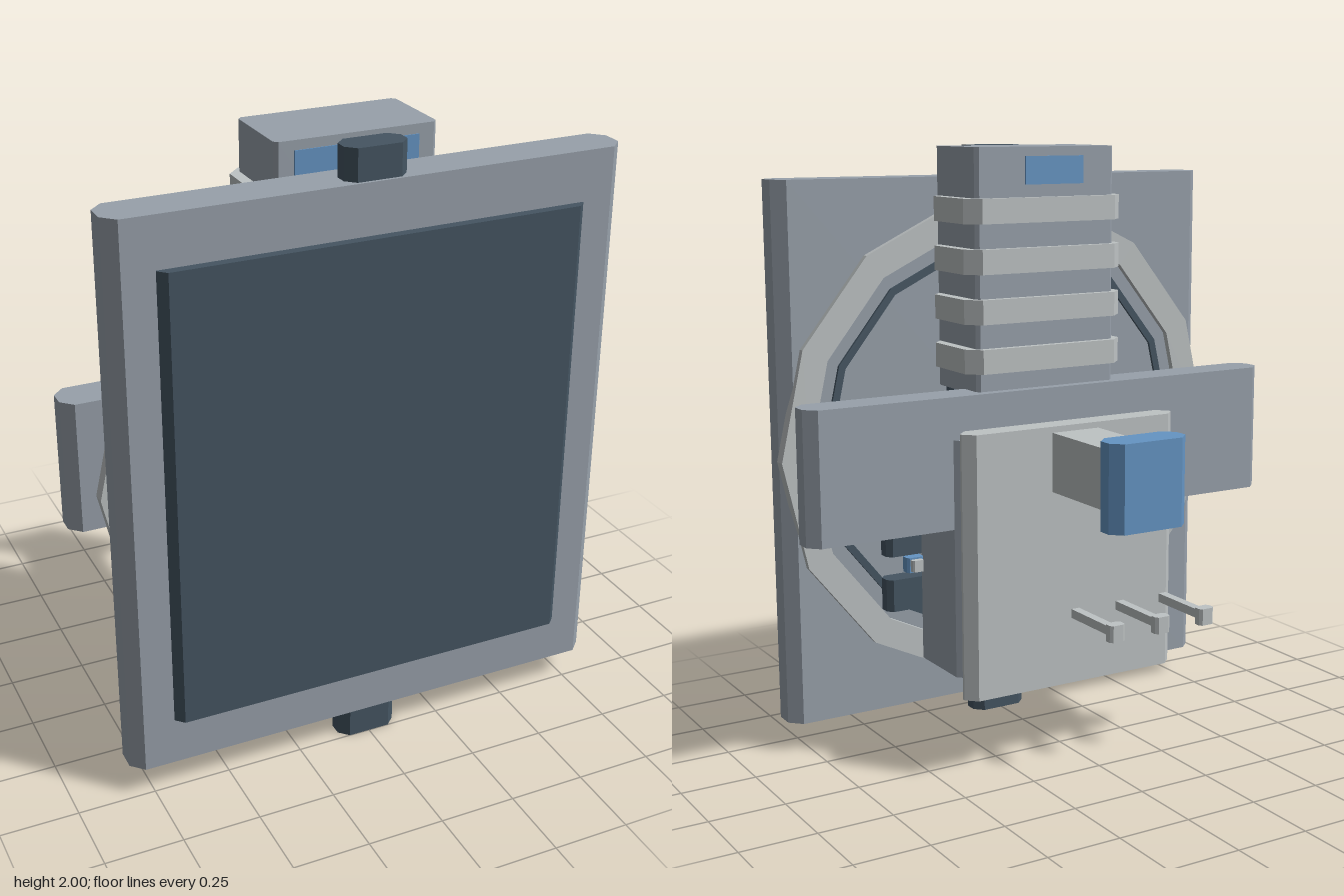
import * as THREE from 'three';

const paint = (name, color) => {
  const m = new THREE.MeshStandardMaterial({ color });
  m.name = name;
  return m;
};

export function createModel() {
  const model = new THREE.Group();
  model.name = 'panelAssembly';
  const gray = paint('blueGray', 0x98a1ab);
  const dark = paint('darkSlate', 0x455562);
  const light = paint('lightGray', 0xbec3c4);
  const blue = paint('blue', 0x6595c4);

  const add = (name, geo, mat) => {
    const mesh = new THREE.Mesh(geo, mat);
    mesh.name = name;
    model.add(mesh);
    return mesh;
  };

  // Box whose upright edges are cut off by c
  const block = (name, mat, [x0, x1], [y0, y1], [z0, z1], c = 0.01) => {
    const s = new THREE.Shape([
      [x0 + c, -z1], [x1 - c, -z1], [x1, -z1 + c], [x1, -z0 - c],
      [x1 - c, -z0], [x0 + c, -z0], [x0, -z0 - c], [x0, -z1 + c],
    ].map(([x, y]) => new THREE.Vector2(x, y)));
    const g = new THREE.ExtrudeGeometry(s, { depth: y1 - y0, bevelEnabled: false });
    g.rotateX(-Math.PI / 2).translate(0, y0, 0);
    return add(name, g, mat);
  };

  // Flat ring with fourteen straight sides, facing along z
  const ring = (name, mat, outer, inner, z0, z1) => {
    const loop = (r) => Array.from({ length: 14 }, (_, i) => {
      const a = (i / 14) * Math.PI * 2;
      return new THREE.Vector2(r * Math.cos(a), r * Math.sin(a));
    });
    const s = new THREE.Shape(loop(outer));
    s.holes.push(new THREE.Path(loop(inner)));
    const g = new THREE.ExtrudeGeometry(s, { depth: z1 - z0, bevelEnabled: false });
    add(name, g.translate(0, 1, z0), mat);
  };

  // Front panel, screen and end tabs
  block('frame', gray, [-0.82, 0.82], [0.1, 1.9], [0.365, 0.51], 0.04);
  block('screen', dark, [-0.68, 0.68], [0.26, 1.74], [0.48, 0.54], 0.025);
  for (const y of [0, 1.9]) {
    block('endTab', dark, [-0.1, 0.1], [y, y + 0.1], [0.4, 0.5], 0.03);
  }

  // Rings on the rear of the panel
  ring('rearRing', light, 0.835, 0.74, 0.343, 0.385);
  ring('innerSeal', dark, 0.69, 0.665, 0.355, 0.38);

  // Upper column with bands and marker plates
  block('column', gray, [-0.26, 0.26], [1.21, 2], [0.08, 0.355], 0.012);
  for (let i = 0; i < 4; i++) {
    const y = 1.32 + i * 0.16;
    block('columnBand', light, [-0.295, 0.295], [y - 0.04, y + 0.04], [0.057, 0.348], 0.045);
  }
  block('rearMarker', blue, [-0.14, 0.08], [1.88, 1.97], [0.077, 0.084], 0.001);
  block('frontMarker', blue, [-0.2, 0.2], [1.88, 1.97], [0.351, 0.358], 0.001);

  // Main housing, crossbar and rear plate
  block('housing', gray, [-0.37, 0.37], [0.285, 1.08], [-0.02, 0.35], 0.065);
  block('crossbar', gray, [-0.87, 0.87], [0.785, 1.22], [0.045, 0.172], 0.037);
  block('rearPlate', light, [-0.4, 0.4], [0.245, 1.12], [-0.1, -0.02], 0.035);

  // Arm and knob
  block('arm', light, [-0.087, 0.087], [0.905, 1.1], [-0.44, 0.265], 0.004);
  block('knob', blue, [-0.14, 0.14], [0.86, 1.14], [-0.545, -0.43], 0.035);

  // Row of pins
  for (const x of [0, -0.175, -0.35]) {
    block('pin', light, [x - 0.015, x + 0.015], [0.47, 0.5], [-0.33, -0.09], 0.003);
    block('pinHead', light, [x - 0.028, x + 0.028], [0.455, 0.511], [-0.36, -0.32], 0.009);
  }

  // Pads and fasteners on the left side
  for (const y of [0.515, 0.705, 0.895]) {
    block('sidePad', dark, [0.31, 0.49], [y - 0.055, y + 0.055], [0.293, 0.365], 0.018);
  }
  const fastener = (x, y) => {
    block('fastener', blue, [x - 0.03, x + 0.03], [y - 0.026, y + 0.026], [0.268, 0.312], 0.007);
    block('fastenerTip', light, [x - 0.02, x + 0.02], [y - 0.02, y + 0.02], [0.247, 0.275], 0.005);
  };
  fastener(0.4, 0.81);
  fastener(0.4, 0.62);

  // Tall latch on the right side
  block('latch', dark, [-0.49, -0.33], [0.27, 0.51], [0.293, 0.365], 0.018);
  block('latchNeck', dark, [-0.45, -0.35], [0.5, 0.6], [0.3, 0.365], 0.01);
  block('latchButton', blue, [-0.41, -0.36], [0.37, 0.47], [0.19, 0.235], 0.008);
  fastener(-0.4, 0.6);

  // Mounts above and below the housing
  block('upperMount', dark, [-0.25, 0.25], [1.05, 1.14], [0.297, 0.365], 0.015);
  block('upperMountStep', dark, [-0.23, 0.23], [1.14, 1.215], [0.32, 0.365], 0.01);
  block('lowerMount', dark, [-0.06, 0.06], [0.265, 0.32], [0.297, 0.365], 0.015);

  return model;
}
